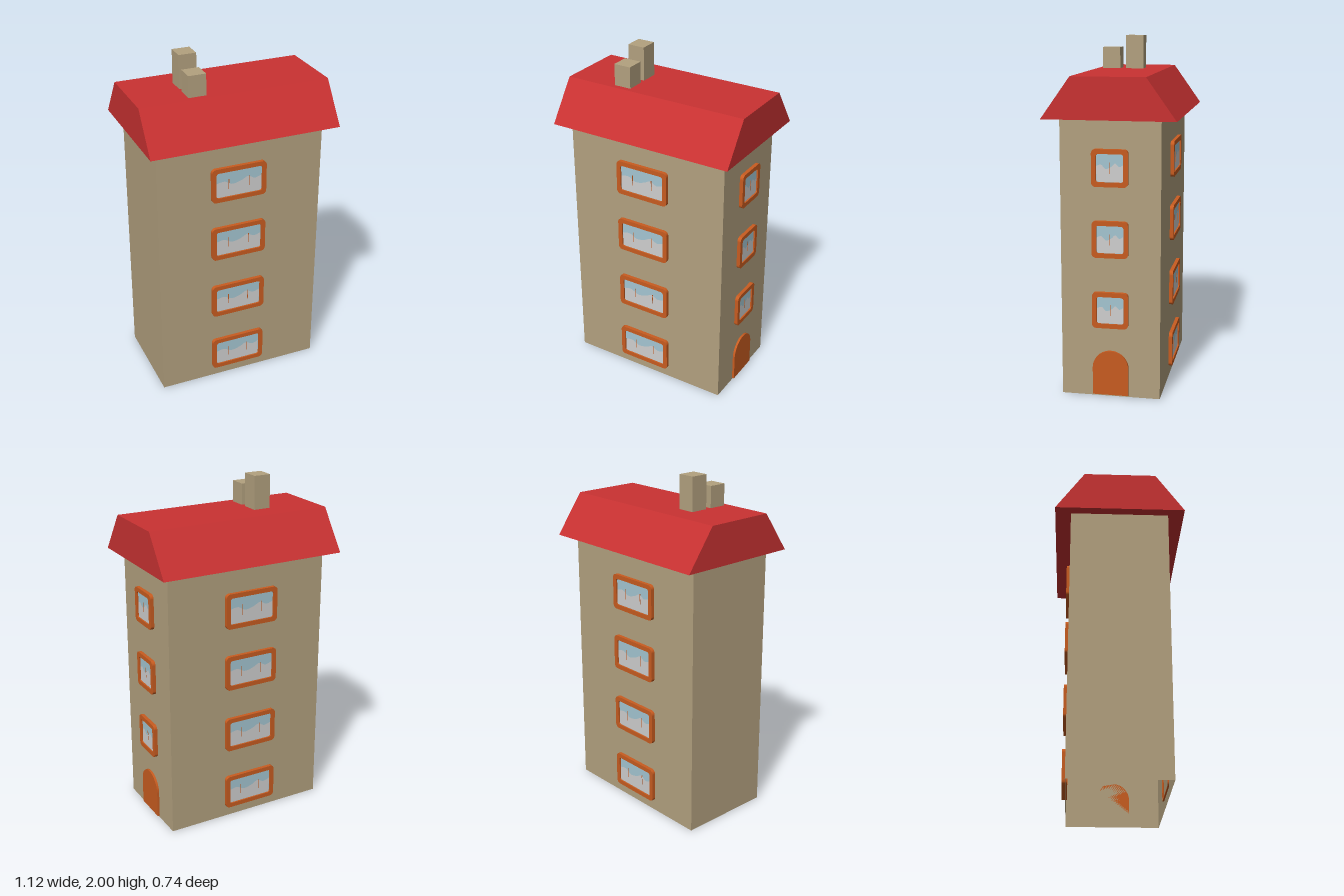
import * as THREE from 'three';

const mat = (name, color, side = THREE.FrontSide) => {
  const m = new THREE.MeshStandardMaterial({ color, side });
  m.name = name;
  return m;
};

// Rounded rectangle centred on the origin
function roundedRect(w, h, r, Type = THREE.Shape) {
  const x = w / 2, y = h / 2, s = new Type();
  s.moveTo(-x + r, -y);
  s.lineTo(x - r, -y);
  s.absarc(x - r, -y + r, r, -Math.PI / 2, 0);
  s.lineTo(x, y - r);
  s.absarc(x - r, y - r, r, 0, Math.PI / 2);
  s.lineTo(-x + r, y);
  s.absarc(-x + r, y - r, r, Math.PI / 2, Math.PI);
  s.lineTo(-x, -y + r);
  s.absarc(-x + r, -y + r, r, Math.PI, Math.PI * 1.5);
  return s;
}

const extrude = (shape, depth, z = 0) =>
  new THREE.ExtrudeGeometry(shape, { depth, bevelEnabled: false, curveSegments: 6 }).translate(0, 0, z);

export function createModel() {
  const wallMat = mat('tan wall', 0xb3a17f, THREE.DoubleSide);
  const roofMat = mat('red roof', 0xc93232);
  const frameMat = mat('orange frame', 0xc85c20);
  const skyMat = mat('blue glass', 0xa4c6d2);
  const paleMat = mat('pale glass', 0xcfcfcf);

  const model = new THREE.Group();
  model.name = 'house';
  const add = (parent, name, geometry, material, x = 0, y = 0, z = 0) => {
    const mesh = new THREE.Mesh(geometry, material);
    mesh.name = name;
    mesh.position.set(x, y, z);
    parent.add(mesh);
    return mesh;
  };

  // Walls: four sheets, open underneath
  const left = -0.498, right = 0.495, halfDepth = 0.28, wallTop = 1.58;
  const midX = (left + right) / 2;
  const wall = (name, width, x, z, turn) => {
    add(model, name, new THREE.PlaneGeometry(width, wallTop), wallMat, x, wallTop / 2, z).rotation.y = turn;
  };
  wall('frontWall', right - left, midX, halfDepth, 0);
  wall('backWall', right - left, midX, -halfDepth, Math.PI);
  wall('doorWall', halfDepth * 2, right, 0, Math.PI / 2);
  wall('plainWall', halfDepth * 2, left, 0, -Math.PI / 2);

  // Roof: a flat-topped trapezoid run along x
  const roofShape = new THREE.Shape();
  roofShape.moveTo(-0.37, 1.575);
  roofShape.lineTo(0.37, 1.575);
  roofShape.lineTo(0.205, 1.806);
  roofShape.lineTo(-0.205, 1.806);
  add(model, 'roof', extrude(roofShape, 1.116, -0.558).rotateY(Math.PI / 2), roofMat);

  // Chimneys
  for (const [name, top, z] of [['tallChimney', 2, -0.0175], ['shortChimney', 1.93, 0.1225]]) {
    const h = top - 1.8;
    add(model, name, new THREE.BoxGeometry(0.102, h, 0.105), wallMat, -0.215, 1.8 + h / 2, z);
  }

  // Window facing local +z, with its back on the wall
  function makeWindow(name, w, h, bars, x, y, z, turn) {
    const g = new THREE.Group();
    g.name = name;
    const pw = w - 0.052, ph = h - 0.052;

    const frame = roundedRect(w, h, 0.024);
    frame.holes.push(roundedRect(pw, ph, 0.014, THREE.Path));
    add(g, 'frame', extrude(frame, 0.021), frameMat);

    // Slim lip showing on the inside of the wall
    const lip = roundedRect(w, h, 0.024);
    lip.holes.push(roundedRect(w - 0.012, h - 0.012, 0.02, THREE.Path));
    add(g, 'innerLip', extrude(lip, 0.008, -0.008), frameMat);

    // Blue pane with a pale wavy lower reflection
    add(g, 'pane', new THREE.ShapeGeometry(roundedRect(pw, ph, 0.013), 6), skyMat, 0, 0, 0.012);
    const a = pw / 2 - 0.002, b = ph / 2 - 0.002;
    const pale = new THREE.Shape();
    pale.moveTo(-a, -b);
    pale.lineTo(a, -b);
    pale.lineTo(a, b * 0.25);
    pale.splineThru([[0.7, 0.1], [0.4, 0.35], [0.1, 0.1], [-0.3, -0.05], [-0.65, 0.25], [-1, 0.15]]
      .map(([u, v]) => new THREE.Vector2(u * a, v * b)));
    add(g, 'reflection', new THREE.ShapeGeometry(pale, 4), paleMat, 0, 0, 0.0135);

    // Hairline glazing bars
    for (const bx of bars) add(g, 'glazingBar', new THREE.BoxGeometry(0.003, ph * 0.4, 0.002), frameMat, bx, 0, 0.0138);

    g.position.set(x, y, z);
    g.rotation.y = turn;
    model.add(g);
  }

  for (const y of [0.165, 0.547, 0.938, 1.312]) {
    makeWindow('frontWindow', 0.33, 0.207, [-0.062, 0.062], -0.02, y, halfDepth, 0);
    makeWindow('backWindow', 0.33, 0.207, [-0.062, 0.062], -0.02, y, -halfDepth, Math.PI);
  }
  for (const y of [0.51, 0.915, 1.312]) {
    makeWindow('sideWindow', 0.204, 0.207, [0], right, y, 0, Math.PI / 2);
  }

  // Arched door
  const door = new THREE.Shape();
  door.moveTo(-0.102, 0.01);
  door.lineTo(0.102, 0.01);
  door.lineTo(0.102, 0.168);
  door.absarc(0, 0.168, 0.102, 0, Math.PI);
  door.lineTo(-0.102, 0.01);
  add(model, 'door', new THREE.ExtrudeGeometry(door, { depth: 0.013, bevelEnabled: false, curveSegments: 16 }),
    frameMat, right, 0, 0).rotation.y = Math.PI / 2;

  return model;
}
